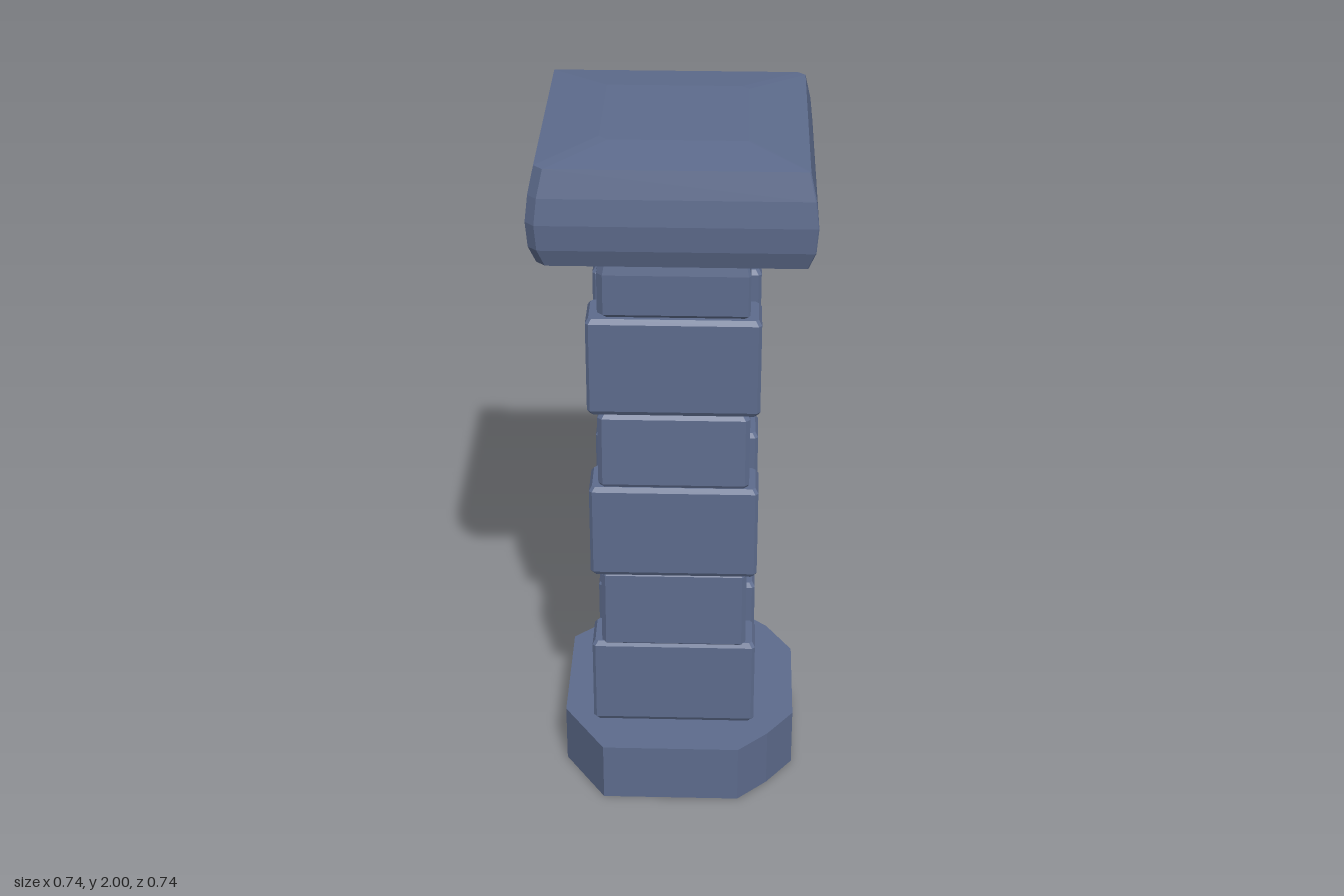
import * as THREE from 'three';

// Stack of rectangular sections [y, halfX, halfZ] with clipped corners, closed at both ends.
// cuts: clip size at the corners (+x+z), (-x+z), (-x-z), (+x-z)
function loft(levels, cuts) {
  const signs = [[1, 1], [-1, 1], [-1, -1], [1, -1]];
  const loops = levels.map(([y, hx, hz]) => {
    const pts = [];
    signs.forEach(([sx, sz], i) => {
      const c = cuts[i];
      const alongX = [sx * (hx - c), y, sz * hz];
      const alongZ = [sx * hx, y, sz * (hz - c)];
      if (i % 2 === 0) pts.push(alongZ, alongX);
      else pts.push(alongX, alongZ);
    });
    return pts;
  });
  const out = [];
  const tri = (a, b, c) => out.push(...a, ...b, ...c);
  for (let k = 0; k < loops.length - 1; k++) {
    for (let i = 0; i < 8; i++) {
      const j = (i + 1) % 8;
      const a = loops[k][i], b = loops[k][j], c = loops[k + 1][j], d = loops[k + 1][i];
      tri(a, d, c);
      tri(a, c, b);
    }
  }
  const bottom = loops[0], top = loops[loops.length - 1];
  for (let i = 1; i < 7; i++) {
    tri(bottom[0], bottom[i], bottom[i + 1]);
    tri(top[0], top[i + 1], top[i]);
  }
  const geo = new THREE.BufferGeometry();
  geo.setAttribute('position', new THREE.Float32BufferAttribute(out, 3));
  geo.computeVertexNormals();
  return geo;
}

// Bevelled stone block, centred on its own origin
function block(w, h, d, bevel) {
  const x = w / 2, y = h / 2, z = d / 2, e = bevel * 0.6;
  return loft([
    [-y, x - e, z - e], [-y + bevel, x, z],
    [y - bevel, x, z], [y, x - e, z - e],
  ], [e, e, e, e]);
}

export function createModel() {
  const group = new THREE.Group();
  const stone = new THREE.MeshStandardMaterial({ color: 0x5d6b8c });
  stone.name = 'blue grey stone';

  const add = (name, geo, x = 0, y = 0, z = 0) => {
    const mesh = new THREE.Mesh(geo, stone);
    mesh.name = name;
    mesh.position.set(x, y, z);
    group.add(mesh);
    return mesh;
  };

  // Rough many-sided plinth
  const outline = [
    [0.19, 0.345], [0.275, 0.265], [0.35, 0.165], [0.35, -0.155], [0.275, -0.275], [0.19, -0.35],
    [-0.06, -0.35], [-0.2, -0.31], [-0.32, -0.2], [-0.32, 0.165], [-0.2, 0.345],
  ];
  const shape = new THREE.Shape(outline.map(([x, z]) => new THREE.Vector2(x, -z)));
  const plinth = new THREE.ExtrudeGeometry(shape, { depth: 0.18, bevelEnabled: false });
  plinth.rotateX(-Math.PI / 2);
  add('plinth', plinth);

  // Inner shaft
  add('shaft', new THREE.BoxGeometry(0.36, 1.5, 0.36), 0, 0.92, 0);

  // Courses made of a front and a back slab with a recessed core
  [[0.18, 0.46], [0.69, 0.98], [1.21, 1.5]].forEach(([y0, y1], i) => {
    const y = (y0 + y1) / 2, h = y1 - y0;
    add('core' + (i + 1), new THREE.BoxGeometry(0.4, h, 0.3), 0, y, 0);
    add('frontSlab' + (i + 1), block(0.468, h, 0.13, 0.014), 0, y, 0.15);
    add('backSlab' + (i + 1), block(0.468, h, 0.13, 0.014), 0, y, -0.159);
  });

  // Single blocks between them, slightly tipped
  const lower = add('lowerBlock', block(0.412, 0.265, 0.416, 0.02), 0, 0.565, 0);
  lower.rotation.x = -0.03;
  const upper = add('upperBlock', block(0.416, 0.24, 0.41, 0.02), 0, 1.08, 0);
  upper.rotation.x = -0.05;

  // Neck tapering into the capital
  add('neck', loft([
    [1.495, 0.19, 0.19], [1.51, 0.203, 0.203], [1.625, 0.203, 0.203],
    [1.66, 0.196, 0.196], [1.7, 0.183, 0.183],
  ], [0.006, 0.016, 0.006, 0.006]));

  // Bulging square capital with a faintly domed top
  add('capital', loft([
    [1.688, 0.19, 0.19], [1.72, 0.345, 0.345], [1.77, 0.363, 0.363],
    [1.84, 0.368, 0.368], [1.91, 0.36, 0.36], [1.983, 0.344, 0.344], [2.0, 0.19, 0.19],
  ], [0.003, 0.024, 0.003, 0.02]));

  return group;
}
